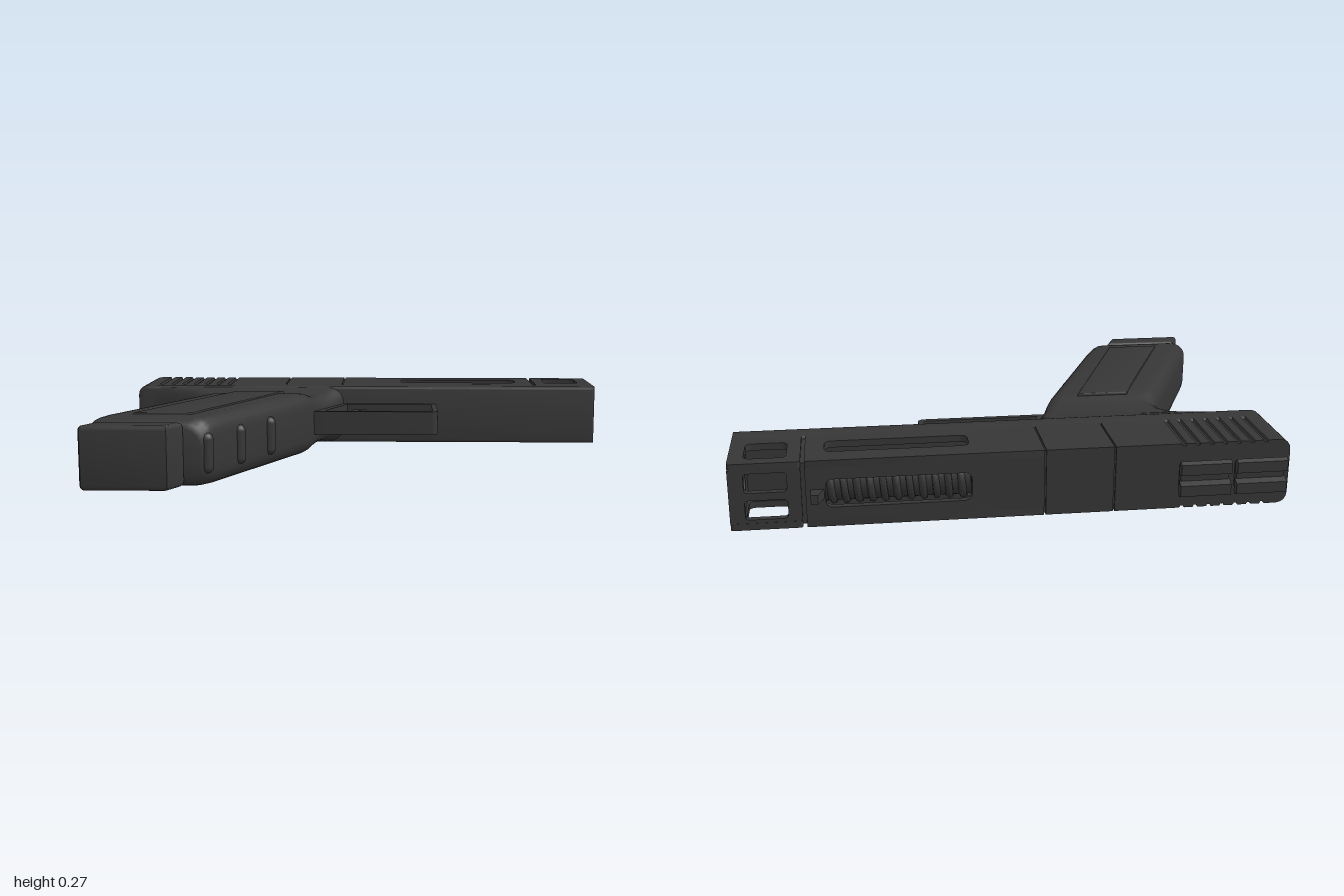
import * as THREE from 'three';
import { toCreasedNormals } from 'three/addons/utils/BufferGeometryUtils.js';
import { RoundedBoxGeometry } from 'three/addons/geometries/RoundedBoxGeometry.js';

// Modelled upright (x along the barrel, y up, z across), then laid on its side.
const mat = new THREE.MeshStandardMaterial({ color: 0x363636, roughness: 0.7 });
const H = 0.123;   // half width of the slide
const TOP = 0.70, SPLIT = 0.435, BORE = 0.565;

function roundRect(path, x0, y0, x1, y1, r) {
  path.moveTo(x0 + r, y0);
  path.lineTo(x1 - r, y0); path.quadraticCurveTo(x1, y0, x1, y0 + r);
  path.lineTo(x1, y1 - r); path.quadraticCurveTo(x1, y1, x1 - r, y1);
  path.lineTo(x0 + r, y1); path.quadraticCurveTo(x0, y1, x0, y1 - r);
  path.lineTo(x0, y0 + r); path.quadraticCurveTo(x0, y0, x0 + r, y0);
  return path;
}
const rect = (...a) => roundRect(new THREE.Shape(), ...a);
const hole = (...a) => roundRect(new THREE.Path(), ...a);
const poly = pts => new THREE.Shape(pts.map(p => new THREE.Vector2(...p)));

// Extrude a shape between two depths, rounding its edges by b
function extrude(shape, z0, z1, b = 0) {
  const g = new THREE.ExtrudeGeometry(shape, {
    depth: z1 - z0 - 2 * b, bevelEnabled: b > 0, bevelSize: b, bevelOffset: -b,
    bevelThickness: b, bevelSegments: 3, curveSegments: 8,
  });
  return toCreasedNormals(g.translate(0, 0, z0 + b), 0.6);
}
// The same for a shape drawn from above, extruded upwards
const extrudeUp = (...a) => extrude(...a).rotateX(-Math.PI / 2);

// Outline of the slide from above, with rounded rear corners and grip grooves
function planOutline(x0, x1, grooves) {
  const s = new THREE.Shape(), r = 0.045, notches = [];
  for (let i = 0; i < grooves; i++) {
    const x = -0.91 + i * 0.05;
    notches.push([x, H], [x + 0.004, H - 0.008], [x + 0.014, H - 0.008], [x + 0.018, H]);
  }
  s.moveTo(x0, H - r);
  s.quadraticCurveTo(x0, H, x0 + r, H);
  notches.forEach(([x, y]) => s.lineTo(x, y));
  s.lineTo(x1, H); s.lineTo(x1, -H);
  notches.reverse().forEach(([x, y]) => s.lineTo(x, -y));
  s.lineTo(x0 + r, -H);
  s.quadraticCurveTo(x0, -H, x0, -H + r);
  return s;
}

// Grip lofted from rounded rectangles: [height, back x, front x, half width]
function gripGeometry() {
  const rows = [
    [0.40, -0.97, -0.07, 0.115], [0.362, -0.97, -0.09, 0.118], [0.352, -0.88, -0.095, 0.117],
    [0.32, -0.78, -0.108, 0.11], [0.28, -0.715, -0.126, 0.101], [0.22, -0.665, -0.152, 0.1],
    [0.17, -0.648, -0.176, 0.104], [0.14, -0.65, -0.19, 0.113], [0.11, -0.66, -0.203, 0.123],
    [0.08, -0.674, -0.216, 0.127], [-0.54, -0.952, -0.495, 0.127], [-0.59, -0.973, -0.518, 0.124],
    [-0.62, -0.972, -0.53, 0.117], [-0.638, -0.96, -0.545, 0.105], [-0.645, -0.94, -0.56, 0.09],
  ];
  const pos = [], idx = [], per = 6, n = per * 4;
  for (const [y, xb, xf, h] of rows) {
    const r = 0.065;
    for (let j = 0; j < n; j++) {
      const c = Math.floor(j / per), a = (c + (j % per) / (per - 1)) * Math.PI / 2;
      const cx = c === 0 || c === 3 ? xf - r : xb + r, cz = c < 2 ? h - r : r - h;
      pos.push(cx + r * Math.cos(a), y, cz + r * Math.sin(a));
    }
  }
  for (let i = 0; i < rows.length - 1; i++) for (let j = 0; j < n; j++) {
    const a = i * n + j, b = i * n + (j + 1) % n;
    idx.push(a, b, a + n, b, b + n, a + n);
  }
  const last = (rows.length - 1) * n;
  pos.push(-0.75, -0.645, 0);
  for (let j = 0; j < n; j++) idx.push(last + n, last + j, last + (j + 1) % n);
  const g = new THREE.BufferGeometry();
  g.setAttribute('position', new THREE.Float32BufferAttribute(pos, 3));
  g.setIndex(idx);
  return toCreasedNormals(g, 0.7);
}

export function createModel() {
  const model = new THREE.Group(), body = new THREE.Group();
  body.rotation.x = -Math.PI / 2;
  body.position.y = 0.134;
  model.add(body);
  const add = (name, geo, x = 0, y = 0, z = 0) => {
    const m = new THREE.Mesh(geo, mat);
    m.name = name;
    m.position.set(x, y, z);
    body.add(m);
    return m;
  };
  const box = (name, x0, x1, y0, y1, z0, z1) => add(name,
    new THREE.BoxGeometry(x1 - x0, y1 - y0, z1 - z0), (x0 + x1) / 2, (y0 + y1) / 2, (z0 + z1) / 2);

  // Lower frame and rear slide
  add('frame', extrudeUp(planOutline(-0.993, 1, 0), 0.357, 0.45, 0.014));
  add('rearSlide', extrudeUp(planOutline(-0.993, -0.353, 7), SPLIT, TOP));
  add('rearPlate', new RoundedBoxGeometry(0.03, 0.18, 0.17, 3, 0.007), -0.985, 0.565, 0);
  box('middleSlide', -0.347, -0.103, SPLIT, TOP, -H, H);
  box('seamCore', -0.38, -0.07, SPLIT, TOP - 0.006, -H + 0.006, H - 0.006);

  // Hollow front slide: slotted sides and top
  const wall = 0.025;
  const side = rect(-0.097, SPLIT, 0.738, TOP, 0.002);
  side.holes.push(hole(0.16, 0.51, 0.67, 0.615, 0.03));
  const roof = rect(-0.097, -H + wall, 0.738, H - wall, 0.001);
  roof.holes.push(hole(0.16, -0.052, 0.67, 0.052, 0.03));
  add('slideTop', extrudeUp(roof, TOP - wall, TOP));

  // Open muzzle block
  const cheek = rect(0.752, SPLIT, 1, TOP, 0.012);
  cheek.holes.push(hole(0.8, 0.505, 0.947, 0.652, 0.025));
  const vent = rect(0.752, -H + wall, 1, H - wall, 0.001);
  vent.holes.push(hole(0.8, 0.014, 0.947, 0.085, 0.015), hole(0.8, -0.085, 0.947, -0.014, 0.015));
  add('muzzleTop', extrudeUp(vent, TOP - wall, TOP - 0.001));
  for (const s of [-1, 1]) {
    const z0 = s > 0 ? H - wall : -H;
    add('slideSide', extrude(side, z0, z0 + wall));
    add('muzzleSide', extrude(cheek, z0, z0 + wall));
  }
  const face = rect(-H + wall, SPLIT, H - wall, TOP - wall, 0.001);
  face.holes.push(new THREE.Path().absarc(0, BORE, 0.044, 0, Math.PI * 2, true));
  add('muzzleFace', extrude(face, 0.955, 0.999).rotateY(Math.PI / 2));
  box('bulkhead', 0.715, 0.785, SPLIT, TOP - 0.01, -H + 0.01, H - 0.01);

  // Barrel with a spiral rib, seen through the slots
  add('barrel', new THREE.CylinderGeometry(0.076, 0.076, 0.86, 32).rotateZ(Math.PI / 2), 0.32, BORE, 0);
  const turns = 14, helix = [];
  for (let i = 0; i <= turns * 16; i++) {
    const a = i / 16 * Math.PI * 2;
    helix.push(new THREE.Vector3(0.1 + i / 16 * 0.046, BORE + 0.076 * Math.cos(a), 0.076 * Math.sin(a)));
  }
  add('barrelRib', new THREE.TubeGeometry(new THREE.CatmullRomCurve3(helix), turns * 24, 0.014, 6));

  // Sights
  add('frontSight', extrude(poly([[0.67, TOP - 0.01], [0.72, TOP - 0.01], [0.72, 0.752], [0.695, 0.752]]), -0.017, 0.017));
  for (const [x0, x1] of [[-0.97, -0.785], [-0.765, -0.58]]) {
    box('rearSightBase', x0 + 0.005, x1 - 0.005, TOP - 0.01, 0.725, -0.045, 0.045);
    for (const s of [-1, 1]) {
      const pad = poly([[0.008, 0.72], [0.058, 0.72], [0.068, 0.732], [0.06, 0.75], [0.02, 0.75]].map(p => [p[0] * s, p[1]]));
      add('rearSightPad', extrude(pad, x0, x1).rotateY(Math.PI / 2));
    }
  }

  // Grip with side panels, finger ridges and base
  add('grip', gripGeometry());
  const panel = poly([[-0.53, 0.115], [-0.33, 0.115], [-0.605, -0.535], [-0.82, -0.535]]);
  for (const s of [-1, 1]) add('gripPanel', extrude(panel, s > 0 ? 0.112 : -0.133, s > 0 ? 0.133 : -0.112, 0.006));
  for (const [x, y] of [[-0.358, -0.225], [-0.45, -0.425], [-0.542, -0.615]])
    add('fingerRidge', new THREE.CapsuleGeometry(0.025, 0.1, 6, 14).rotateX(Math.PI / 2), x, y, 0);
  add('magazine', extrude(poly([[-0.88, -0.6], [-0.62, -0.6], [-0.66, -0.68], [-0.9, -0.68]]), -0.085, 0.085));
  add('basePlate', extrude(poly([[-0.935, -0.65], [-0.62, -0.65], [-0.662, -0.743], [-0.965, -0.743], [-0.972, -0.73]]), -0.116, 0.116, 0.018));

  // Trigger guard and trigger
  const guard = new THREE.Shape();
  guard.moveTo(-0.1, 0.37); guard.lineTo(-0.21, 0.105); guard.lineTo(0.28, 0.105);
  guard.quadraticCurveTo(0.31, 0.105, 0.31, 0.135); guard.lineTo(0.31, 0.37);
  const gap = new THREE.Path();
  gap.moveTo(-0.075, 0.34); gap.lineTo(0.288, 0.34); gap.lineTo(0.288, 0.145);
  gap.quadraticCurveTo(0.288, 0.128, 0.27, 0.128); gap.lineTo(-0.165, 0.128);
  guard.holes.push(gap);
  add('triggerGuard', extrude(guard, -0.048, 0.048));
  const trigger = new THREE.Shape();
  trigger.moveTo(-0.035, 0.36); trigger.quadraticCurveTo(-0.09, 0.24, -0.02, 0.152);
  trigger.lineTo(-0.012, 0.165); trigger.quadraticCurveTo(-0.075, 0.27, 0.025, 0.36);
  add('trigger', extrude(trigger, -0.025, 0.025));

  return model;
}
